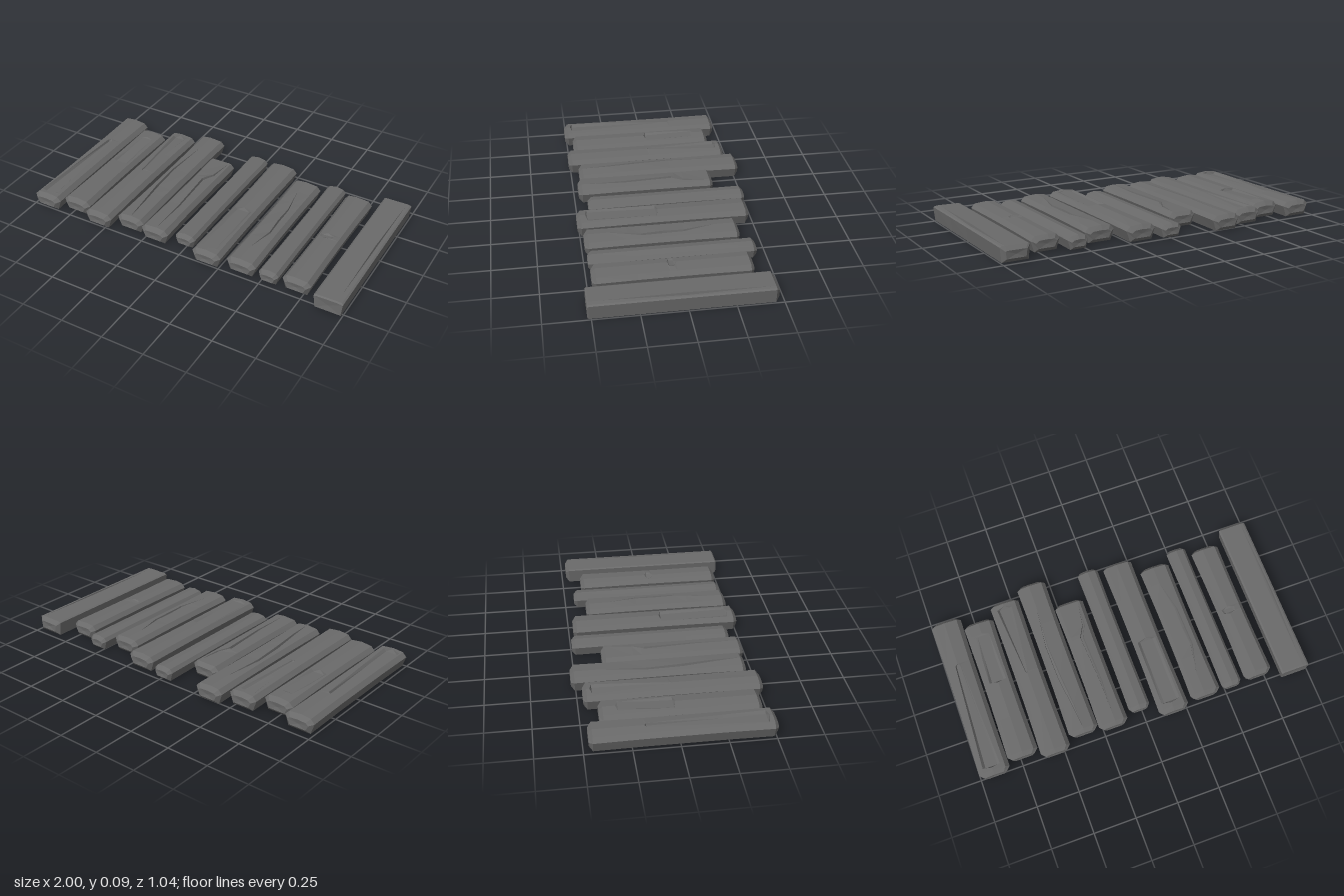
import * as THREE from 'three';

const wood = new THREE.MeshStandardMaterial({ color: 0x6a6a6a, flatShading: true });
wood.name = 'weathered grey wood';

// A thin split along [z, x] points, widest and deepest in the middle: rows of z, x, half width, depth
function split(...points) {
  return points.map(([z, x], i) => {
    const swell = Math.sin(Math.PI * i / (points.length - 1));
    return { z, x, w: 0.01 * swell, d: 0.016 * swell };
  });
}

// A broad chip with a steep wall at z0 or z1, its depth running from d0 to d1
function chip(x, z0, z1, w0, w1, d0, d1) {
  return [
    { z: z0 - 0.012, x, w: w0, d: 0 }, { z: z0, x, w: w0, d: d0 },
    { z: z1, x, w: w1, d: d1 }, { z: z1 + 0.012, x, w: w1, d: 0 },
  ];
}

// Planks from right to left: width, back z, front z and surface damage
const planks = [
  { x: -0.91, width: 0.18, back: -0.47, front: 0.51, crack: chip(-0.918, -0.17, 0.46, 0.016, 0.05, 0.014, 0.015) },
  { x: -0.73, width: 0.18, back: -0.4, front: 0.465, crack: chip(-0.73, -0.3, -0.005, 0.04, 0.05, 0, 0.012) },
  { x: -0.548, width: 0.175, back: -0.47, front: 0.51, crack: chip(-0.555, -0.42, 0, 0.045, 0.008, 0.013, 0.005) },
  { x: -0.362, width: 0.175, back: -0.525, front: 0.455,
    crack: split([-0.37, -0.375], [-0.1, -0.397], [0.1, -0.388], [0.28, -0.37], [0.43, -0.36]) },
  { x: -0.187, width: 0.175, back: -0.335, front: 0.475,
    crack: split([-0.3, -0.135], [-0.16, -0.15], [-0.09, -0.185], [0.2, -0.17], [0.44, -0.175]) },
  { x: -0.013, width: 0.127, back: -0.495, front: 0.43 },
  { x: 0.17, width: 0.18, back: -0.475, front: 0.51, crack: chip(0.165, 0.055, 0.45, 0.055, 0.055, 0.012, 0.004) },
  { x: 0.375, width: 0.18, back: -0.38, front: 0.485,
    crack: split([-0.25, 0.365], [-0.07, 0.4], [0.05, 0.4], [0.17, 0.405], [0.35, 0.365]) },
  { x: 0.54, width: 0.12, back: -0.445, front: 0.48 },
  { x: 0.705, width: 0.17, back: -0.39, front: 0.475, crack: chip(0.69, 0.035, 0.06, 0.04, 0.035, 0.006, 0.004) },
  { x: 0.916, width: 0.168, back: -0.475, front: 0.52, squared: true,
    crack: split([-0.44, 0.972], [0, 0.971], [0.45, 0.965]) },
];

const topHeight = p => (p.width < 0.15 ? 0.08 : 0.095);

// Crack centre, half width and depth at a given z
function crackAt({ crack, x }, z) {
  if (!crack) return { x, w: 0, d: 0 };
  const first = crack[0], last = crack[crack.length - 1];
  if (z <= first.z) return { x: first.x, w: 0, d: 0 };
  if (z >= last.z) return { x: last.x, w: 0, d: 0 };
  const k = crack.findIndex((row, i) => z >= row.z && z < crack[i + 1].z);
  const a = crack[k], b = crack[k + 1];
  const mix = key => THREE.MathUtils.mapLinear(z, a.z, b.z, a[key], b[key]);
  return { x: mix('x'), w: mix('w'), d: mix('d') };
}

// Cross-section: tapered underside, crowned top and crack groove
function section(p, z) {
  const top = topHeight(p);
  const t = (2 * z - p.back - p.front) / (p.front - p.back);
  const w = p.width / 2 * (1 - (p.squared ? 0.01 : 0.07) * (1 - t * t));
  const bottom = w * (p.squared ? 0.9 : 0.76);
  const sideY = top * (p.squared ? 0.86 : 0.66);
  const shoulder = w * (p.squared ? 0.88 : 0.74);
  const crack = crackAt(p, z);
  const clamp = v => THREE.MathUtils.clamp(v, -shoulder * 0.95, shoulder * 0.95);
  const l = clamp(crack.x - p.x - crack.w), r = clamp(crack.x - p.x + crack.w);
  const crown = v => top - 0.008 * Math.abs(v) / shoulder;
  const inset = (r - l) * 0.15;
  return [
    [-bottom, 0], [bottom, 0], [w, sideY], [shoulder, top - 0.008],
    [r, crown(r)], [r - inset, crown(r) - crack.d], [l + inset, crown(l) - crack.d], [l, crown(l)],
    [-shoulder, top - 0.008], [-w, sideY],
  ].map(([x, y]) => new THREE.Vector3(p.x + x, y, z));
}

// Smaller ring that forms the chipped bevel of a plank end
function endRing(p, ring, z, flat) {
  const sx = flat ? 0.98 : 0.72, sy = flat ? 0.85 : 0.5;
  const midY = topHeight(p) * 0.45;
  return ring.map(v => new THREE.Vector3(p.x + (v.x - p.x) * sx, midY + (v.y - midY) * sy, z));
}

function plankGeometry(p) {
  const { back, front } = p;
  const z0 = back + 0.02, z1 = front - (p.squared ? 0.008 : 0.022);
  const stations = [z0, THREE.MathUtils.lerp(back, front, 0.28), THREE.MathUtils.lerp(back, front, 0.72), z1,
    ...(p.crack ?? []).map(row => row.z)];
  const rings = stations.sort((a, b) => a - b).map(z => section(p, z));
  rings.unshift(endRing(p, rings[0], back, false));
  rings.push(endRing(p, rings[rings.length - 1], front, p.squared));

  const pos = [];
  const tri = (a, b, c) => {
    const area = b.clone().sub(a).cross(c.clone().sub(a)).length();
    if (area > 1e-9) for (const v of [a, b, c]) pos.push(v.x, v.y, v.z);
  };
  const n = rings[0].length;
  for (let k = 0; k < rings.length - 1; k++) {
    for (let i = 0; i < n; i++) {
      const j = (i + 1) % n;
      tri(rings[k][i], rings[k][j], rings[k + 1][j]);
      tri(rings[k][i], rings[k + 1][j], rings[k + 1][i]);
    }
  }
  // End caps
  const last = rings[rings.length - 1];
  const hubY = topHeight(p) * 0.45;
  const backHub = new THREE.Vector3(p.x, hubY, back + 0.004);
  const frontHub = new THREE.Vector3(p.x, hubY, front - 0.004);
  for (let i = 0; i < n; i++) {
    const j = (i + 1) % n;
    tri(rings[0][j], rings[0][i], backHub);
    tri(last[i], last[j], frontHub);
  }
  const geo = new THREE.BufferGeometry();
  geo.setAttribute('position', new THREE.Float32BufferAttribute(pos, 3));
  geo.computeVertexNormals();
  return geo;
}

export function createModel() {
  const group = new THREE.Group();
  group.name = 'plankWalkway';
  planks.forEach((p, i) => {
    const mesh = new THREE.Mesh(plankGeometry(p), wood);
    mesh.name = `plank${i + 1}`;
    group.add(mesh);
  });
  return group;
}
